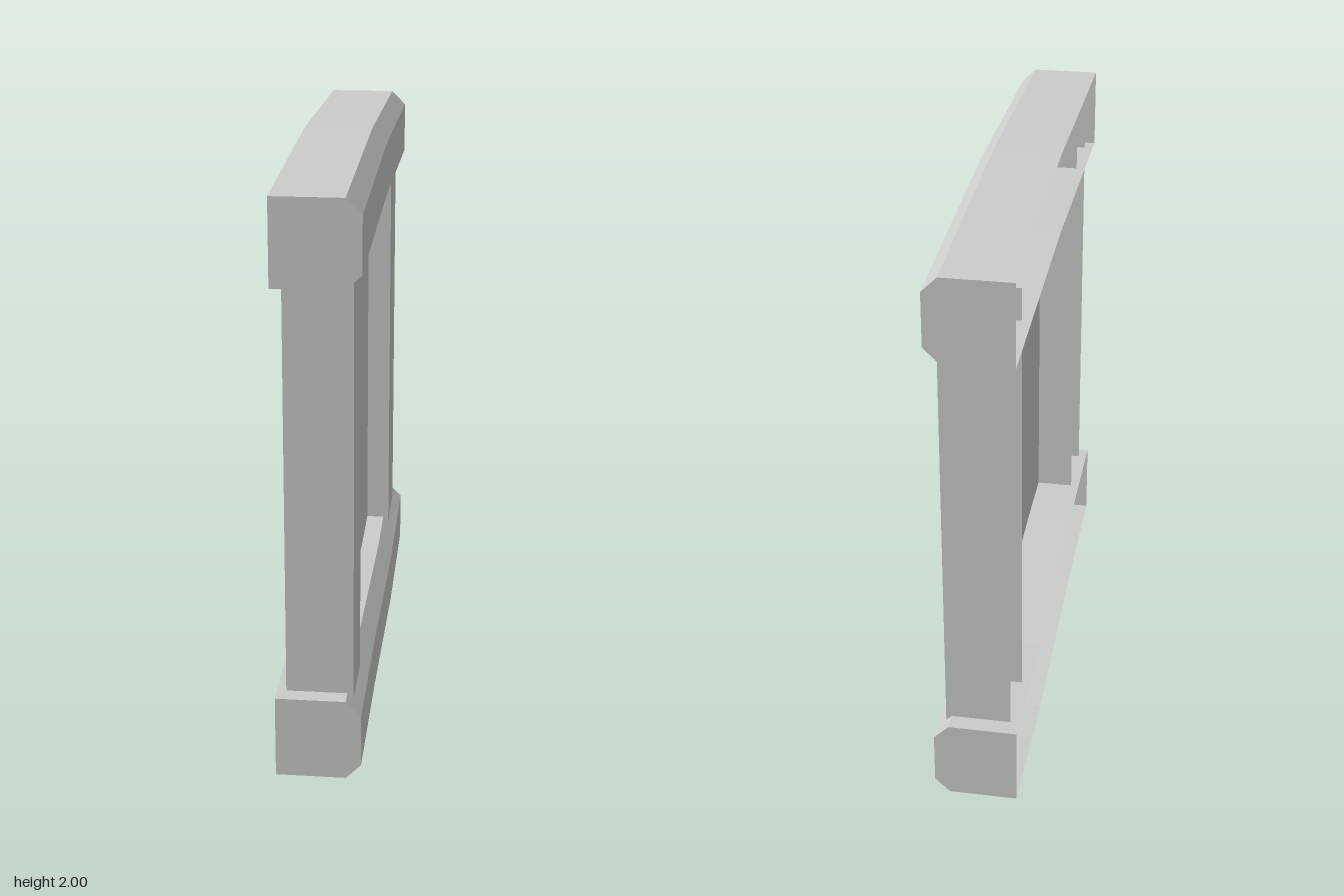
import * as THREE from 'three';

const material = new THREE.MeshStandardMaterial({
  color: 0xcccccc, flatShading: true, side: THREE.DoubleSide,
});

// Bevelled beam section (x, y), open along the back (-x)
const beamSection = [
  [-0.14, 0], [0.09, 0], [0.14, 0.05], [0.14, 0.23], [0.09, 0.28], [-0.14, 0.28],
];

// Sweeps the section through stations [z, y], running from +z to -z, and caps both ends
function beam(name, stations) {
  const positions = [];
  const point = ([z, y], i) => [beamSection[i][0], y + beamSection[i][1], z];
  const triangle = (a, b, c) => positions.push(...a, ...b, ...c);
  for (let s = 0; s < stations.length - 1; s++) {
    for (let i = 0; i < beamSection.length - 1; i++) {
      const a = point(stations[s], i), b = point(stations[s], i + 1);
      const c = point(stations[s + 1], i + 1), d = point(stations[s + 1], i);
      triangle(a, d, c);
      triangle(a, c, b);
    }
  }
  const first = stations[0], last = stations[stations.length - 1];
  for (let i = 1; i < beamSection.length - 1; i++) {
    triangle(point(first, 0), point(first, i), point(first, i + 1));
    triangle(point(last, 0), point(last, i + 1), point(last, i));
  }
  const geometry = new THREE.BufferGeometry();
  geometry.setAttribute('position', new THREE.Float32BufferAttribute(positions, 3));
  geometry.computeVertexNormals();
  const mesh = new THREE.Mesh(geometry, material);
  mesh.name = name;
  return mesh;
}

// Flat upright sheet, facing +z before it is turned about y
function sheet(name, width, height, x, y, z, turn) {
  const mesh = new THREE.Mesh(new THREE.PlaneGeometry(width, height), material);
  mesh.name = name;
  mesh.position.set(x, y, z);
  mesh.rotation.y = turn;
  return mesh;
}

// Post made as a channel: a face and two sides, open at the back
function post(name, z) {
  const group = new THREE.Group();
  group.name = name;
  const width = 0.235, depth = 0.22, height = 1.65, y = 0.985;
  group.add(
    sheet('postFace', width, height, depth / 2, y, z, Math.PI / 2),
    sheet('postSideA', depth, height, 0, y, z + width / 2, 0),
    sheet('postSideB', depth, height, 0, y, z - width / 2, Math.PI),
  );
  return group;
}

export function createModel() {
  const model = new THREE.Group();
  model.name = 'wallPanel';

  // Gently arched top beam and sagging bottom beam
  model.add(beam('topBeam', [[0.93, 1.69], [0, 1.72], [-0.93, 1.69]]));
  model.add(beam('bottomBeam', [[0.93, 0.038], [0.39, 0.04], [-0.39, 0], [-0.93, 0.038]]));

  // Posts at both ends, with their ends tucked into the beams
  model.add(post('frontPost', 0.755), post('backPost', -0.748));

  // Thin recessed panel between the posts
  model.add(sheet('panel', 1.27, 1.56, 0.025, 1.0, 0.003, Math.PI / 2));

  return model;
}
